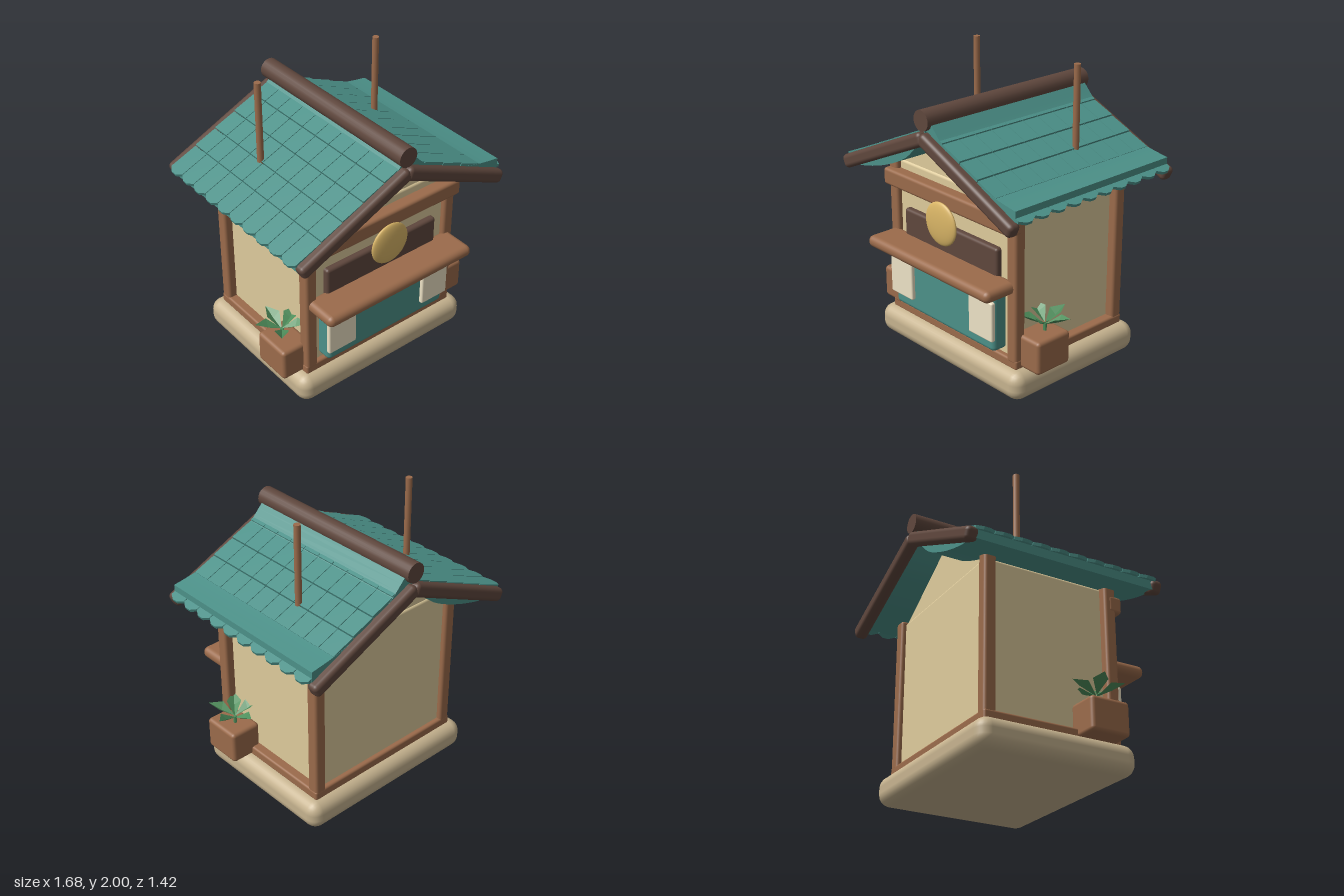
import * as THREE from 'three';
import { RoundedBoxGeometry } from 'three/addons/geometries/RoundedBoxGeometry.js';
import { toCreasedNormals } from 'three/addons/utils/BufferGeometryUtils.js';

const mat = (color, extra = {}) => new THREE.MeshStandardMaterial({ color, ...extra });
const WOOD = mat(0x9b6b4b), DARK = mat(0x5f473d), TEAL = mat(0x4c9189), WALL = mat(0xdecb9c);
const STONE = mat(0xc6b38f), GOLD = mat(0xd9b566), PAPER = mat(0xeee3c6);
const LEAF = mat(0x4f8f5c, { side: THREE.DoubleSide, flatShading: true });

function add(parent, name, geometry, material, x = 0, y = 0, z = 0) {
  const mesh = new THREE.Mesh(geometry, material);
  mesh.name = name;
  mesh.position.set(x, y, z);
  parent.add(mesh);
  return mesh;
}

// Rounded box given by its limits on each axis
function block(parent, name, material, [x0, x1], [y0, y1], [z0, z1], radius, segments = 3) {
  const geometry = new RoundedBoxGeometry(x1 - x0, y1 - y0, z1 - z0, segments, radius);
  return add(parent, name, geometry, material, (x0 + x1) / 2, (y0 + y1) / 2, (z0 + z1) / 2);
}

function extrude(points, depth) {
  const shape = new THREE.Shape(points.map(([x, y]) => new THREE.Vector2(x, y)));
  return new THREE.ExtrudeGeometry(shape, { depth, bevelEnabled: false });
}

// One curved roof slab; lift is its thickness above (+) or below (-) the curve
function roofSlab(lift) {
  const curve = new THREE.SplineCurve([[0, 1.69], [0.06, 1.625], [0.2, 1.49], [0.4, 1.392], [0.6, 1.33], [0.79, 1.297]]
    .map(([x, y]) => new THREE.Vector2(x, y)));
  const line = curve.getPoints(20).map((p) => [p.x, p.y]);
  const other = line.map(([x, y]) => [x, y + lift]).reverse();
  return toCreasedNormals(extrude([...line, ...other], 1.31).translate(0, 0, -0.655), 0.6);
}

// Rows of thin tiles laid down the slope, the lowest row with pointed ends
function roofTiles(slope) {
  const tiles = new THREE.Group();
  tiles.name = 'roofTiles';
  const cos = Math.cos(slope), edges = [0.01, 0.163, 0.32, 0.475, 0.63, 0.82];
  const pitch = 0.131, half = 0.0635;
  for (let row = 0; row < 5; row++) {
    const length = (edges[row + 1] - edges[row]) / cos - 0.006;
    const outline = [[0, -half], [length, -half]];
    if (row === 4) outline.push([length + 0.028, -0.022], [length + 0.028, 0.022]);
    outline.push([length, half], [0, half]);
    const geometry = extrude(outline, 0.02).rotateX(Math.PI / 2);
    for (let i = 0; i < 10; i++) {
      const tile = add(tiles, 'tile', geometry, TEAL, edges[row] / cos, -0.008, (i - 4.5) * pitch);
      tile.rotation.z = 0.04;
    }
  }
  tiles.rotation.z = -slope;
  return tiles;
}

function roofSide(side) {
  const half = new THREE.Group();
  half.name = side > 0 ? 'leftRoof' : 'rightRoof';
  const slope = Math.atan(0.45);
  add(half, 'roofSlab', roofSlab(0.07 * side), TEAL);
  const tiles = roofTiles(slope);
  tiles.position.y = side > 0 ? 1.68 : 1.665;
  half.add(tiles);
  // Barge boards on both gable ends
  for (const z of [-0.668, 0.668]) {
    const board = add(half, 'bargeBoard', new RoundedBoxGeometry(0.89, 0.092, 0.085, 3, 0.03), DARK, 0.395, 1.425, z);
    board.rotation.z = -slope;
  }
  // Hanging rod
  add(half, 'hangingRod', new THREE.CylinderGeometry(0.022, 0.022, 0.65, 12), WOOD, 0.46, 1.675, -0.165 * side);
  if (side < 0) half.rotation.y = Math.PI;
  return half;
}

// Folded diamond leaf along +x, rising to its tip
function leafGeometry() {
  const geometry = new THREE.BufferGeometry();
  geometry.setAttribute('position', new THREE.Float32BufferAttribute([
    0, 0, 0, 0.09, 0.07, 0.048, 0.09, 0.035, 0, 0.175, 0.08, 0, 0.09, 0.07, -0.048], 3));
  geometry.setIndex([0, 1, 2, 1, 3, 2, 0, 2, 4, 2, 3, 4]);
  geometry.computeVertexNormals();
  return geometry;
}

function planter(side) {
  const group = new THREE.Group();
  group.name = side > 0 ? 'leftPlanter' : 'rightPlanter';
  const cx = 0.655 * side;
  block(group, 'pot', WOOD, [cx - 0.11, cx + 0.11], [0.2, 0.425], [0.16, 0.435], 0.025);
  const geometry = leafGeometry();
  for (let i = 0; i < 5; i++) {
    const leaf = add(group, 'leaf', geometry, LEAF, cx, 0.465 + 0.012 * (i % 2), 0.275);
    leaf.rotation.y = Math.PI / 2 + (i * Math.PI * 2) / 5;
  }
  add(group, 'stem', new THREE.CylinderGeometry(0.012, 0.012, 0.07, 6), LEAF, cx, 0.44, 0.275);
  return group;
}

export function createModel() {
  const model = new THREE.Group();
  model.name = 'shopHouse';

  // Base, sill and walls
  block(model, 'base', STONE, [-0.69, 0.69], [0, 0.2], [-0.545, 0.545], 0.08);
  block(model, 'sill', WOOD, [-0.612, 0.612], [0.19, 0.258], [-0.478, 0.478], 0.015);
  block(model, 'walls', WALL, [-0.55, 0.55], [0.22, 1.275], [-0.445, 0.445], 0.02);
  add(model, 'gable', extrude([[-0.54, 1.26], [0.54, 1.26], [0, 1.6]], 0.87), WALL, 0, 0, -0.435);

  // Corner posts
  for (const x of [-0.567, 0.567]) for (const z of [-0.436, 0.438]) {
    block(model, 'cornerPost', WOOD, [x - 0.042, x + 0.042], [0.23, 1.29], [z - 0.042, z + 0.042], 0.02);
  }

  // Shop front
  block(model, 'headerBeam', WOOD, [-0.612, 0.612], [1.1, 1.215], [0.425, 0.525], 0.02);
  block(model, 'signPanel', DARK, [-0.45, 0.445], [0.72, 0.965], [0.42, 0.485], 0.02);
  block(model, 'counterShelf', WOOD, [-0.592, 0.588], [0.706, 0.786], [0.44, 0.695], 0.038);
  block(model, 'counterFront', TEAL, [-0.49, 0.482], [0.29, 0.74], [0.42, 0.545], 0.03);
  for (const x of [-0.395, 0.385]) {
    block(model, 'paperNotice', PAPER, [x - 0.11, x + 0.11], [0.375, 0.645], [0.54, 0.573], 0.012);
  }
  add(model, 'roundEmblem', new THREE.SphereGeometry(0.145, 32, 20), GOLD, -0.003, 1.008, 0.545).scale.z = 0.21;

  // Roof
  model.add(roofSide(1), roofSide(-1));
  const ridge = new THREE.CylinderGeometry(0.067, 0.067, 1.37, 20).rotateX(Math.PI / 2);
  add(model, 'ridgePole', ridge, DARK, -0.003, 1.715, 0);

  // Side planters
  model.add(planter(1), planter(-1));
  return model;
}
